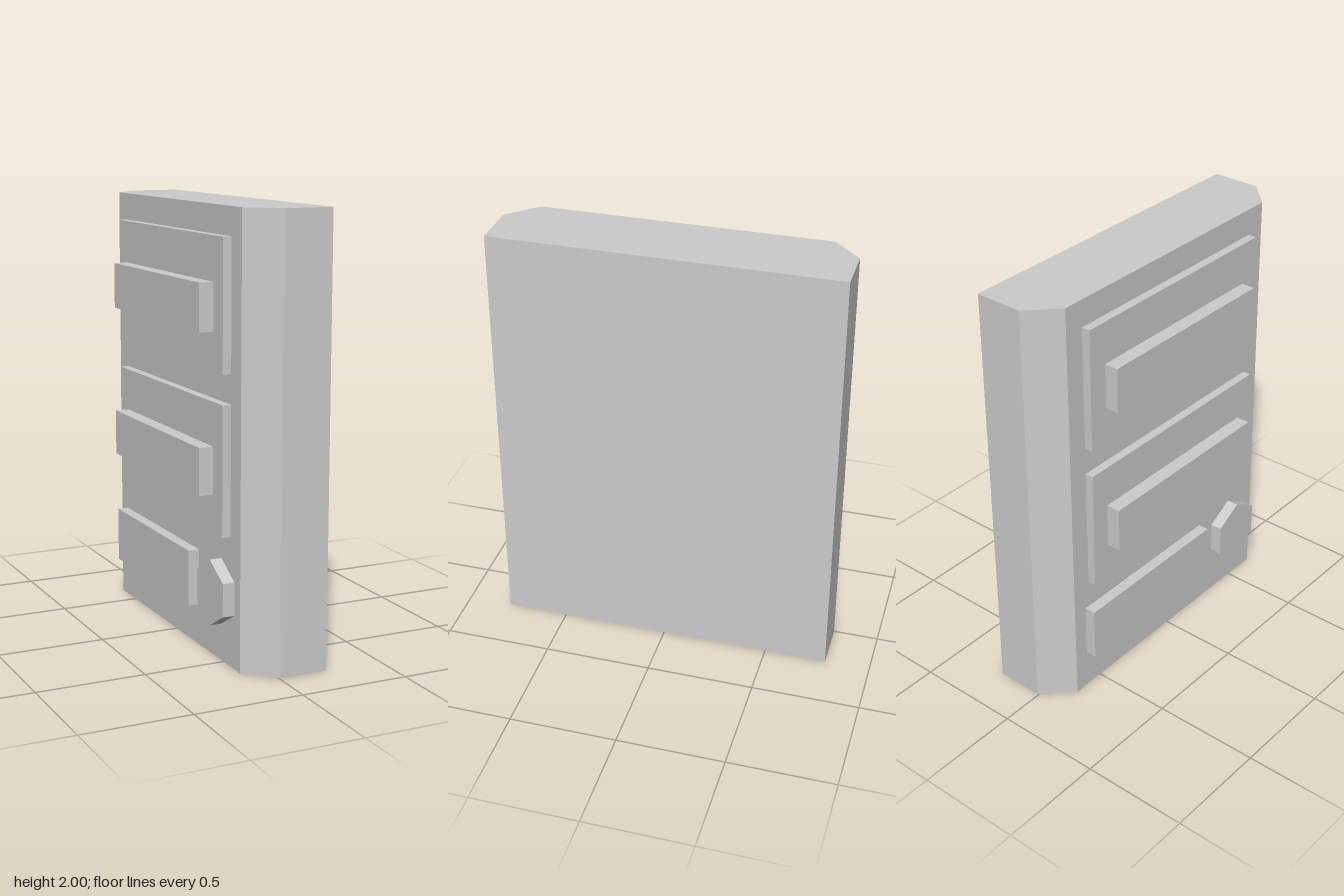
import * as THREE from 'three';

const material = new THREE.MeshStandardMaterial({ color: 0xcccccc, flatShading: true });
const FACE_X = -0.124; // detailed face of the body

function addMesh(parent, name, geometry) {
  const mesh = new THREE.Mesh(geometry, material);
  mesh.name = name;
  parent.add(mesh);
  return mesh;
}

// Block standing out of the face, from x = outer back to x = inner
function addBlock(parent, name, outer, inner, y0, y1, z0, z1) {
  const mesh = addMesh(parent, name, new THREE.BoxGeometry(inner - outer, y1 - y0, z1 - z0));
  mesh.position.set((outer + inner) / 2, (y0 + y1) / 2, (z0 + z1) / 2);
}

export function createModel() {
  const model = new THREE.Group();
  model.name = 'panelUnit';

  // Body: slab with two chamfered vertical edges
  const outline = new THREE.Shape([
    [0.23, -0.79], [0.23, 0.79], [0.005, 0.79],
    [FACE_X, 0.66], [FACE_X, -0.66], [0.005, -0.79],
  ].map(([x, z]) => new THREE.Vector2(x, z)));
  const body = new THREE.ExtrudeGeometry(outline, { depth: 2, bevelEnabled: false });
  body.rotateX(-Math.PI / 2);
  addMesh(model, 'body', body);

  // Two drawers, each a thin plate with a long handle
  [['lowerDrawer', 0.585], ['upperDrawer', 1.295]].forEach(([name, y]) => {
    const drawer = new THREE.Group();
    drawer.name = name;
    addBlock(drawer, 'plate', -0.164, FACE_X, y, y + 0.58, -0.565, 0.565);
    addBlock(drawer, 'handle', -0.23, -0.164, y + 0.172, y + 0.384, -0.473, 0.473);
    model.add(drawer);
  });

  // Low bar beside the knob
  addBlock(model, 'lowerBar', -0.176, FACE_X, 0.19, 0.447, -0.588, 0.245);

  // Hexagonal knob, one corner up
  const knob = new THREE.CylinderGeometry(0.15, 0.15, 0.056, 6);
  knob.rotateY(Math.PI / 2).rotateZ(Math.PI / 2);
  addMesh(model, 'knob', knob).position.set(FACE_X - 0.028, 0.318, 0.475);

  return model;
}
